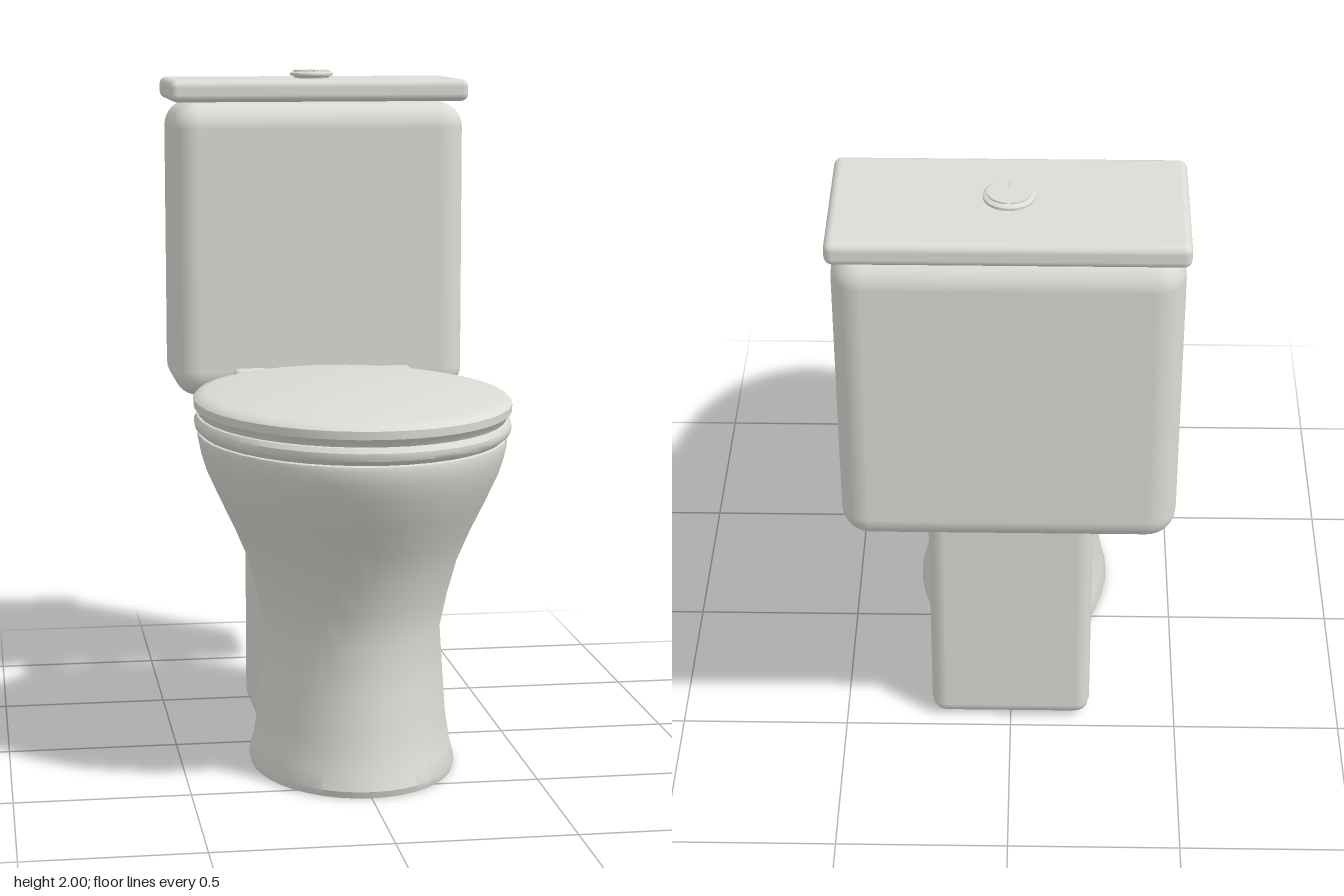
import * as THREE from 'three';
import { toCreasedNormals } from 'three/addons/utils/BufferGeometryUtils.js';
import { RoundedBoxGeometry } from 'three/addons/geometries/RoundedBoxGeometry.js';

export function createModel() {
  const model = new THREE.Group();
  const ceramic = new THREE.MeshStandardMaterial({ color: 0xdcdcd6 });
  ceramic.name = 'ceramic';

  function add(name, geometry, x = 0, y = 0, z = 0) {
    const mesh = new THREE.Mesh(geometry, ceramic);
    mesh.name = name;
    mesh.position.set(x, y, z);
    model.add(mesh);
    return mesh;
  }

  // Oval turned form: a lathe profile [radius, y] stretched along z
  function oval(profile, stretch, crease = 0.6) {
    const points = profile.map(([r, y]) => new THREE.Vector2(r, y));
    const geometry = new THREE.LatheGeometry(points, 40);
    geometry.scale(1, 1, stretch);
    return toCreasedNormals(geometry, crease);
  }

  // Rounded box given by its extents
  function block(name, [x0, x1], [y0, y1], [z0, z1], radius, segments) {
    add(name, new RoundedBoxGeometry(x1 - x0, y1 - y0, z1 - z0, segments, radius),
      (x0 + x1) / 2, (y0 + y1) / 2, (z0 + z1) / 2);
  }

  // Bowl and pedestal
  add('bowl', oval([
    [0, 0], [0.295, 0], [0.3, 0.02], [0.287, 0.07], [0.275, 0.15], [0.266, 0.28], [0.257, 0.42],
    [0.278, 0.52], [0.305, 0.62], [0.343, 0.71], [0.386, 0.8], [0.422, 0.88],
    [0.437, 0.93], [0.445, 0.97], [0.443, 0.982], [0.42, 0.99], [0, 0.99],
  ], 1.335), 0, 0, 0.212);

  // Seat ring with a stepped edge, and the closed lid
  add('seat', oval([
    [0, 0.985], [0.435, 0.985], [0.452, 1.0], [0.455, 1.01], [0.455, 1.022],
    [0.447, 1.035], [0.435, 1.038], [0, 1.038],
  ], 1.315), 0, 0, 0.222);
  add('lid', oval([
    [0, 1.036], [0.44, 1.036], [0.447, 1.05], [0.456, 1.06], [0.457, 1.083],
    [0.447, 1.093], [0.42, 1.1], [0, 1.104],
  ], 1.315), 0, 0, 0.222);

  // Hinges
  for (const side of [-1, 1]) {
    const xs = side > 0 ? [0.165, 0.28] : [-0.28, -0.165];
    block(side > 0 ? 'leftHinge' : 'rightHinge', xs, [0.995, 1.087], [-0.4, -0.28], 0.02, 2);
  }

  // Rear support, tank and tank lid
  block('rearSupport', [-0.24, 0.24], [0.008, 0.89], [-0.47, 0.08], 0.045, 2);
  block('tank', [-0.457, 0.457], [0.99, 1.905], [-0.82, -0.405], 0.08, 4);
  block('tankLid', [-0.465, 0.465], [1.908, 1.975], [-0.835, -0.4], 0.022, 3);

  // Flush button: collar and two half caps
  const buttonZ = -0.615;
  add('buttonCollar', oval([
    [0, 1.97], [0.05, 1.97], [0.055, 1.98], [0.068, 1.984], [0.068, 1.991], [0.06, 1.996], [0, 1.996],
  ], 1), 0, 0, buttonZ);
  const half = new THREE.Shape();
  half.absarc(0, 0, 0.054, -Math.PI / 2, Math.PI / 2, false);
  for (const side of [-1, 1]) {
    const cap = new THREE.ExtrudeGeometry(half, { depth: 0.008, bevelEnabled: false, curveSegments: 16 });
    cap.rotateX(-Math.PI / 2);
    if (side < 0) cap.rotateY(Math.PI);
    add(side > 0 ? 'leftButton' : 'rightButton', cap, side * 0.003, 1.992, buttonZ);
  }
  return model;
}
